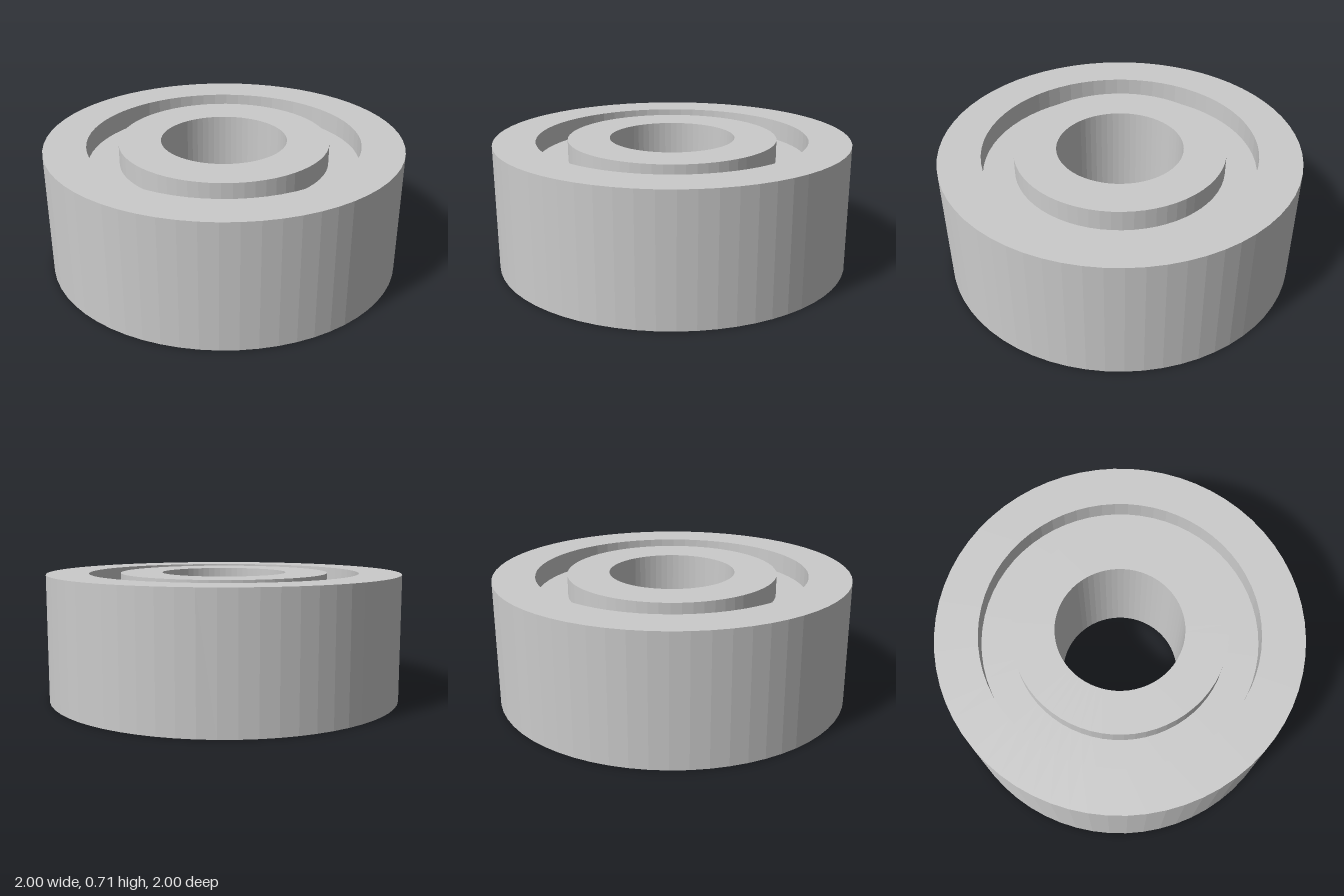
import * as THREE from 'three';

const SEGMENTS = 64;
const HEIGHT = 12 / 17;
const RECESS = 2 / 17; // depth of the groove on both faces
const BORE = 6 / 17, INNER_RACE = 10 / 17, OUTER_RACE = 13 / 17, RIM = 1;

const material = new THREE.MeshStandardMaterial({ color: 0xcccccc, flatShading: true });

// Solid ring with a rectangular cross-section
function ring(name, inner, outer, bottom, top) {
  const profile = [
    [inner, bottom], [outer, bottom], [outer, top], [inner, top], [inner, bottom],
  ].map(([r, y]) => new THREE.Vector2(r, y));
  const mesh = new THREE.Mesh(new THREE.LatheGeometry(profile, SEGMENTS), material);
  mesh.name = name;
  return mesh;
}

export function createModel() {
  const group = new THREE.Group();
  group.name = 'ballBearing';
  group.add(
    ring('outerRing', OUTER_RACE, RIM, 0, HEIGHT),
    ring('innerRing', BORE, INNER_RACE, 0, HEIGHT),
    // Recessed web closing the gap between the rings
    ring('shield', INNER_RACE, OUTER_RACE, RECESS, HEIGHT - RECESS),
  );
  return group;
}
